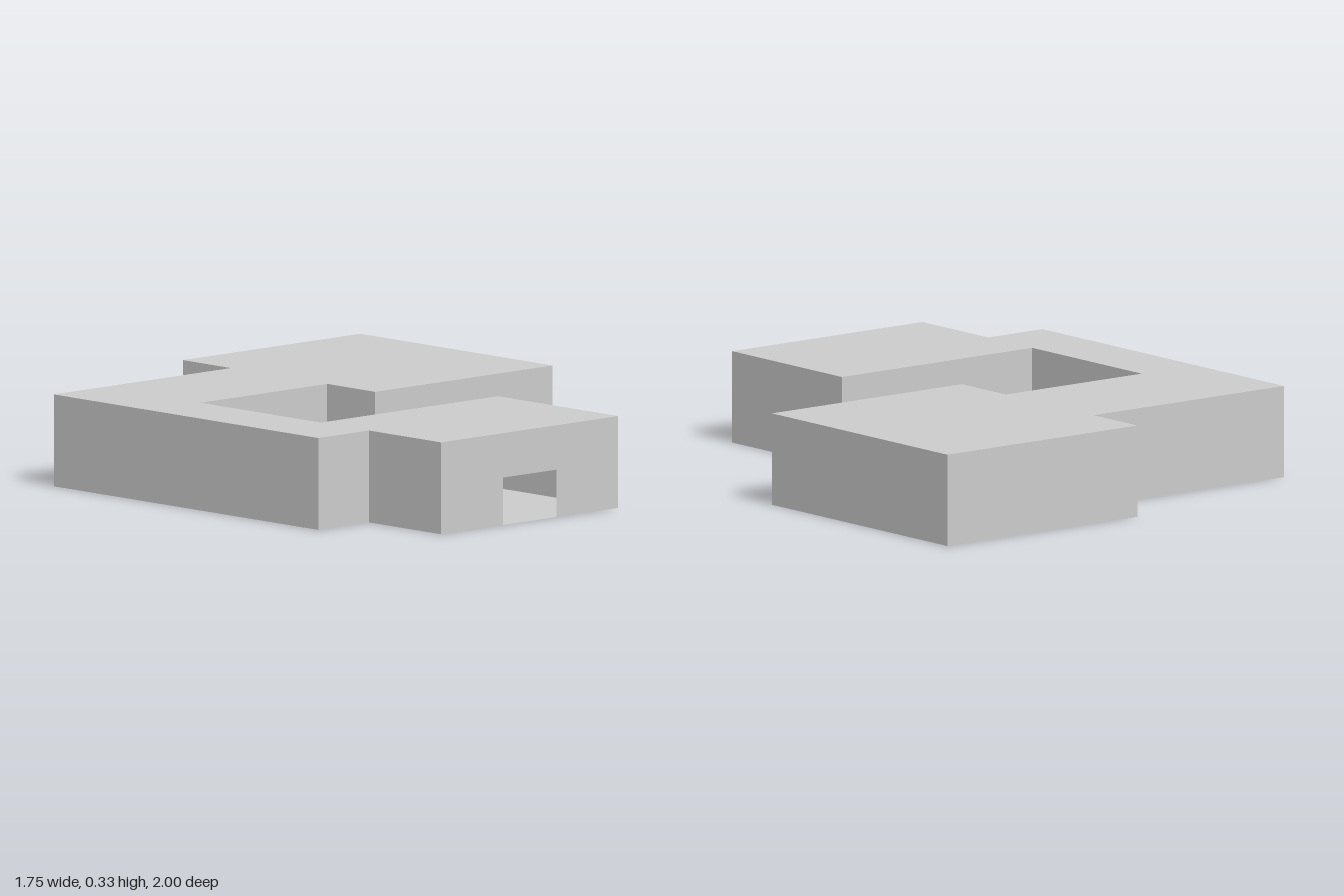
import * as THREE from 'three';

const HEIGHT = 0.333;
const DOOR = { left: -0.32, right: -0.056, height: 0.172 };

// Footprint corners as [x, z], clockwise seen from above
const PLAN = [
  [-0.875, -0.75], [0, -0.75], [0, -1], [0.875, -1], [0.875, 0], [0, 0], [0, -0.25],
  [-0.625, -0.25], [-0.625, 0.375], [0.25, 0.375], [0.25, 1], [-0.625, 1],
  [-0.625, 0.625], [-0.875, 0.625],
];
const ENTRANCE_WALL = 10;

export function createModel() {
  const group = new THREE.Group();
  group.name = 'building';
  const material = new THREE.MeshStandardMaterial({
    color: 0xcccccc, flatShading: true, side: THREE.DoubleSide,
  });

  const add = (name, geometry) => {
    const mesh = new THREE.Mesh(geometry, material);
    mesh.name = name;
    group.add(mesh);
    return mesh;
  };
  const slab = (zSign) =>
    new THREE.ShapeGeometry(new THREE.Shape(PLAN.map(([x, z]) => new THREE.Vector2(x, z * zSign))));

  // Flat roof facing up and floor facing down
  add('roof', slab(-1).rotateX(-Math.PI / 2)).position.y = HEIGHT;
  add('floor', slab(1).rotateX(Math.PI / 2));

  // Thin outer walls, one per side of the footprint
  PLAN.forEach(([x0, z0], i) => {
    const [x1, z1] = PLAN[(i + 1) % PLAN.length];
    if (i === ENTRANCE_WALL) {
      // Front wall outlined around its open doorway
      const outline = [
        [x1, 0], [DOOR.left, 0], [DOOR.left, DOOR.height], [DOOR.right, DOOR.height],
        [DOOR.right, 0], [x0, 0], [x0, HEIGHT], [x1, HEIGHT],
      ].map(([x, y]) => new THREE.Vector2(x, y));
      add('entranceWall', new THREE.ShapeGeometry(new THREE.Shape(outline))).position.z = z0;
      return;
    }
    const length = Math.hypot(x1 - x0, z1 - z0);
    const wall = add('wall' + (i + 1), new THREE.PlaneGeometry(length, HEIGHT));
    wall.position.set((x0 + x1) / 2, HEIGHT / 2, (z0 + z1) / 2);
    wall.rotation.y = Math.atan2(z1 - z0, x0 - x1);
  });

  return group;
}
